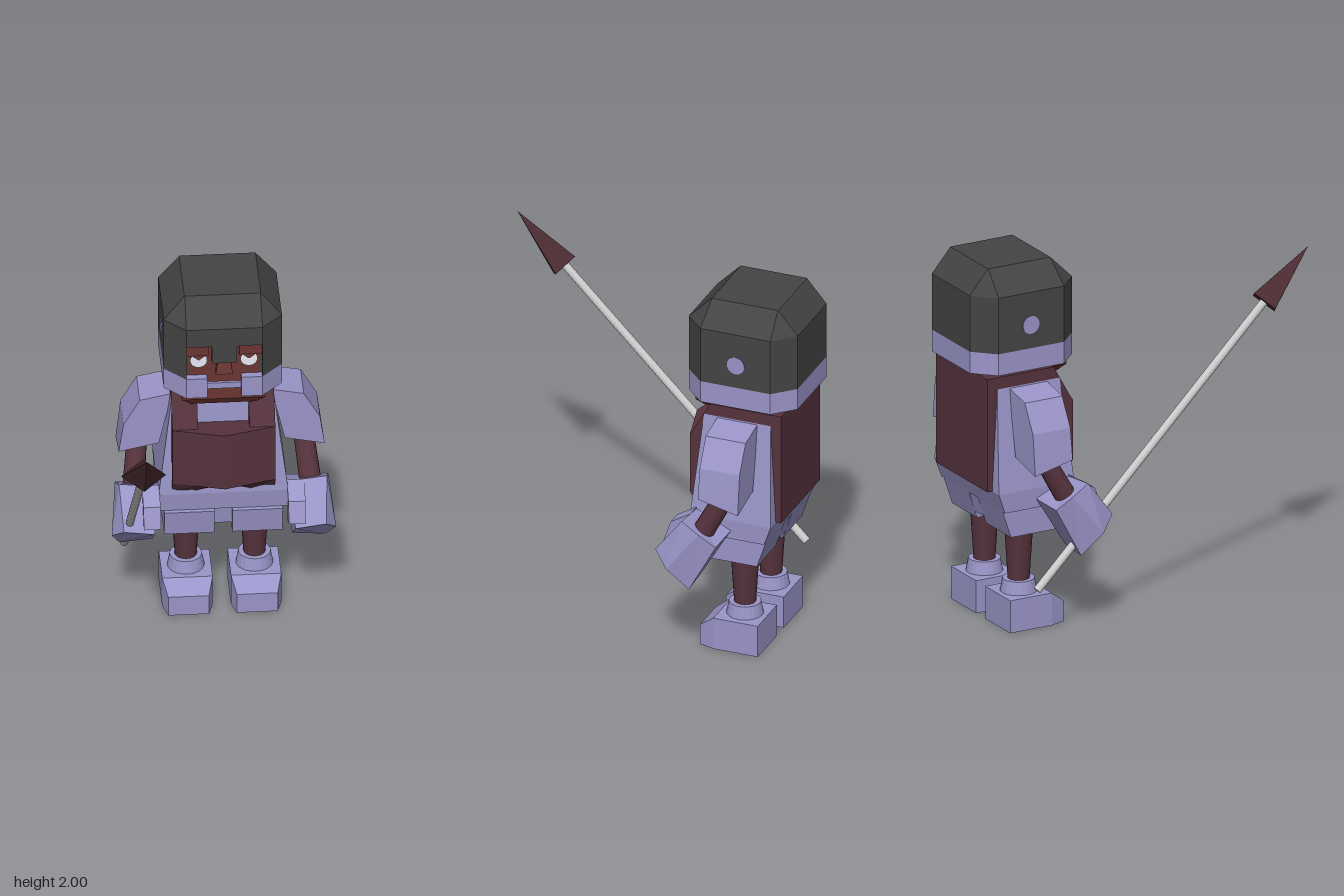
import * as THREE from 'three';

const mat = (color) => new THREE.MeshStandardMaterial({ color, flatShading: true, side: THREE.DoubleSide });
const LILAC = mat(0x9a95c8), BROWN = mat(0x55323c), SKIN = mat(0x6b3632), IRON = mat(0x444444);
const WHITE = mat(0xe8e8f4), STEEL = mat(0xcccccc), TIP = mat(0x482a30);

function mesh(parent, name, geometry, material) {
  const m = new THREE.Mesh(geometry, material);
  m.name = name;
  parent.add(m);
  return m;
}

// Skins a row of equal-length convex rings and caps both ends, facing outwards
function loft(rings) {
  const n = rings[0].length, tris = [];
  for (let i = 0; i + 1 < rings.length; i++)
    for (let j = 0; j < n; j++) {
      const k = (j + 1) % n, [a, b] = [rings[i], rings[i + 1]];
      tris.push([a[j], a[k], b[k]], [a[j], b[k], b[j]]);
    }
  const last = rings[rings.length - 1];
  for (let j = 1; j + 1 < n; j++)
    tris.push([rings[0][0], rings[0][j + 1], rings[0][j]], [last[0], last[j], last[j + 1]]);
  const V = (p) => new THREE.Vector3(...p);
  const volume = tris.reduce((s, t) => s + V(t[0]).dot(V(t[1]).cross(V(t[2]))), 0);
  const pos = tris.flatMap((t) => (volume < 0 ? [t[0], t[2], t[1]] : t)).flat();
  const g = new THREE.BufferGeometry();
  g.setAttribute('position', new THREE.Float32BufferAttribute(pos, 3));
  g.computeVertexNormals();
  return g;
}

// Side profile of [z, y] points stretched between two x values
const slab = (x0, x1, profile) => loft([x0, x1].map((x) => profile.map(([z, y]) => [x, y, z])));
// Box from its limits
const box = (x0, x1, y0, y1, z0, z1) => slab(x0, x1, [[z0, y0], [z1, y0], [z1, y1], [z0, y1]]);
// Horizontal rectangle ring
const rect = (y, w, z0, z1) => [[-w, y, z0], [w, y, z0], [w, y, z1], [-w, y, z1]];
// Horizontal octagon ring with corners cut by c
const octagon = (y, w, z0, z1, c) => [
  [-w + c, y, z1], [w - c, y, z1], [w, y, z1 - c], [w, y, z0 + c],
  [w - c, y, z0], [-w + c, y, z0], [-w, y, z0 + c], [-w, y, z1 - c]];

// Octagonal wall, open at the front between x = -gap and x = gap
function wall(gap, y0, y1) {
  const outer = [[gap, .32], [.2, .32], [.31, .43], [.31, .825], [.2, .935]];
  const inner = [[.18, .9], [.275, .81], [.275, .45], [.185, .36], [gap, .36]];
  const flip = (pts) => pts.map(([x, z]) => [-x, z]).reverse();
  const pts = [...outer, ...flip(outer), ...flip(inner), ...inner];
  // order: outer right, outer left, inner left, inner right
  pts.splice(10, 10, ...inner.slice().reverse().map(([x, z]) => [-x, z]), ...inner);
  const g = new THREE.ExtrudeGeometry(new THREE.Shape(pts.map((p) => new THREE.Vector2(...p))),
    { depth: y1 - y0, bevelEnabled: false });
  return g.rotateX(-Math.PI / 2).translate(0, y0, 0);
}

// Cylinder between two points
function rod(a, b, ra, rb, sides) {
  const A = new THREE.Vector3(...a), d = new THREE.Vector3(...b).sub(A), len = d.length();
  const g = new THREE.CylinderGeometry(rb, ra, len, sides).translate(0, len / 2, 0);
  g.applyQuaternion(new THREE.Quaternion().setFromUnitVectors(new THREE.Vector3(0, 1, 0), d.normalize()));
  return g.translate(...a);
}

function buildHead() {
  const g = new THREE.Group();
  g.name = 'head';
  mesh(g, 'face', loft([rect(1.35, .17, -.74, -.4), rect(1.4, .22, -.78, -.365), rect(1.85, .22, -.78, -.365)]), SKIN);
  mesh(g, 'nose', loft([rect(1.58, .045, -.37, -.325), rect(1.68, .03, -.37, -.345)]), SKIN);
  mesh(g, 'mouth', box(-.1, .1, 1.475, 1.51, -.37, -.35), LILAC);
  for (const s of [-1, 1]) {
    const eye = mesh(g, 'eye', new THREE.CircleGeometry(.045, 24, Math.PI * .78, Math.PI * 1.44), WHITE);
    eye.position.set(s * .132, 1.652, -.358);
    mesh(g, 'eyebrow', box(s * .08, s * .2, 1.685, 1.77, -.37, -.35), SKIN);
  }
  // helmet
  mesh(g, 'helmetWall', wall(.199, 1.56, 1.87), IRON);
  mesh(g, 'helmetBand', wall(.09, 1.44, 1.56), LILAC);
  mesh(g, 'helmetBrow', box(-.2, .2, 1.76, 1.87, -.36, -.32), IRON);
  mesh(g, 'noseGuard', box(-.065, .065, 1.655, 1.76, -.36, -.32), IRON);
  mesh(g, 'helmetCrown', loft([octagon(1.87, .31, -.935, -.32, .11), octagon(2, .2, -.825, -.45, .002)]), IRON);
  for (const s of [-1, 1])
    mesh(g, 'helmetStud', rod([s * .29, 1.69, -.63], [s * .314, 1.69, -.63], .049, .049, 24), LILAC);
  return g;
}

function buildTorso() {
  const g = new THREE.Group();
  g.name = 'torso';
  mesh(g, 'tunic', loft([rect(.68, .335, -.8, -.4), rect(.79, .34, -.84, -.385), rect(1.35, .27, -.81, -.435)]), LILAC);
  mesh(g, 'loincloth', loft([rect(.57, .05, -.765, -.43), rect(.7, .05, -.8, -.41)]), LILAC);
  // keeled chest plate, notched at the bottom
  const columns = [[-.27, .79], [-.16, .79], [-.085, .878], [0, .878], [.085, .878], [.16, .79], [.27, .79]];
  mesh(g, 'chestPlate', loft(columns.map(([x, low]) => {
    const front = -.285 - Math.abs(x) * .26;
    return [[x, low, -.46], [x, low, low < .8 ? -.41 : front], [x, .88, front], [x, 1.215, front], [x, 1.215, -.46]];
  })), BROWN);
  mesh(g, 'backPlate', slab(-.27, .27, [[-.87, .79], [-.83, .79], [-.79, 1.35], [-.79, 1.415], [-.87, 1.415]]), BROWN);
  for (const s of [-1, 1]) {
    mesh(g, 'frontStrap', slab(s * .135, s * .27, [[-.355, 1.21], [-.47, 1.415], [-.52, 1.345], [-.47, 1.21]]), BROWN);
    mesh(g, 'shoulderStrap', slab(s * .135, s * .27, [[-.47, 1.415], [-.85, 1.415], [-.85, 1.34], [-.43, 1.34]]), BROWN);
  }
  return g;
}

function buildArm(s) {
  const g = new THREE.Group();
  g.name = s > 0 ? 'leftArm' : 'rightArm';
  // sleeve, slanting down to the back
  const sleeve = (z, dy) => [[.26, 1.345, z], [.43, 1.31, z], [.515, 1.16, z], [.54, .965 + dy, z], [.33, 1.01 + dy, z]]
    .map(([x, y, zz]) => [s * x, y, zz]);
  mesh(g, 'sleeve', loft([sleeve(-.735, -.03), sleeve(-.51, .025)]), LILAC);
  mesh(g, 'forearm', rod([s * .43, 1.05, -.66], [s * .465, .75, -.5], .052, .058, 16), BROWN);
  // closed gauntlet with a thumb
  const top = [[.33, .82, -.42], [.545, .845, -.42], [.56, .79, -.52], [.55, .73, -.615], [.34, .73, -.615]];
  const low = [[.37, .62, -.27], [.53, .645, -.265], [.588, .57, -.35], [.54, .45, -.46], [.365, .465, -.46]];
  const side = (ring) => ring.map(([x, y, z]) => [s * x, y, z]);
  mesh(g, 'hand', loft([side(top), side(low)]), LILAC);
  mesh(g, 'thumb', slab(s * .335, s * .425, [[-.42, .83], [-.31, .765], [-.27, .65], [-.38, .6]]), LILAC);
  return g;
}

function buildLeg(s) {
  const g = new THREE.Group();
  g.name = s > 0 ? 'leftLeg' : 'rightLeg';
  const x = s * .18;
  mesh(g, 'shortsLeg', slab(s * .047, s * .31, [[-.75, .53], [-.4, .53], [-.375, .68], [-.8, .68]]), LILAC);
  mesh(g, 'shin', rod([x, .2, -.63], [x, .6, -.63], .055, .08, 20), BROWN);
  mesh(g, 'bootCuff', rod([x, .17, -.63], [x, .25, -.63], .1, .085, 20), LILAC);
  const section = (z, w, h) => [[x - w, 0, z], [x + w, 0, z], [x + w, h, z], [x - w, h, z]];
  mesh(g, 'boot', loft([section(-.755, .132, .18), section(-.505, .132, .18), section(-.42, .107, .115)]), LILAC);
  return g;
}

function buildSpear() {
  const g = new THREE.Group();
  g.name = 'spear';
  mesh(g, 'shaft', rod([0, .285, -.7], [0, 1.65, .67], .022, .022, 12), STEEL);
  // diamond-section blade
  const head = mesh(g, 'spearhead', new THREE.ConeGeometry(.118, .375, 4), TIP);
  head.geometry.scale(1, 1, .73);
  head.rotation.x = Math.PI / 4;
  head.position.set(0, 1.775, .8);
  g.position.x = -.485;
  return g;
}

export function createModel() {
  const model = new THREE.Group();
  const figure = new THREE.Group();
  figure.name = 'figure';
  figure.position.x = .012;
  figure.add(buildHead(), buildTorso());
  for (const s of [-1, 1]) figure.add(buildArm(s), buildLeg(s));
  model.add(figure, buildSpear());
  return model;
}
